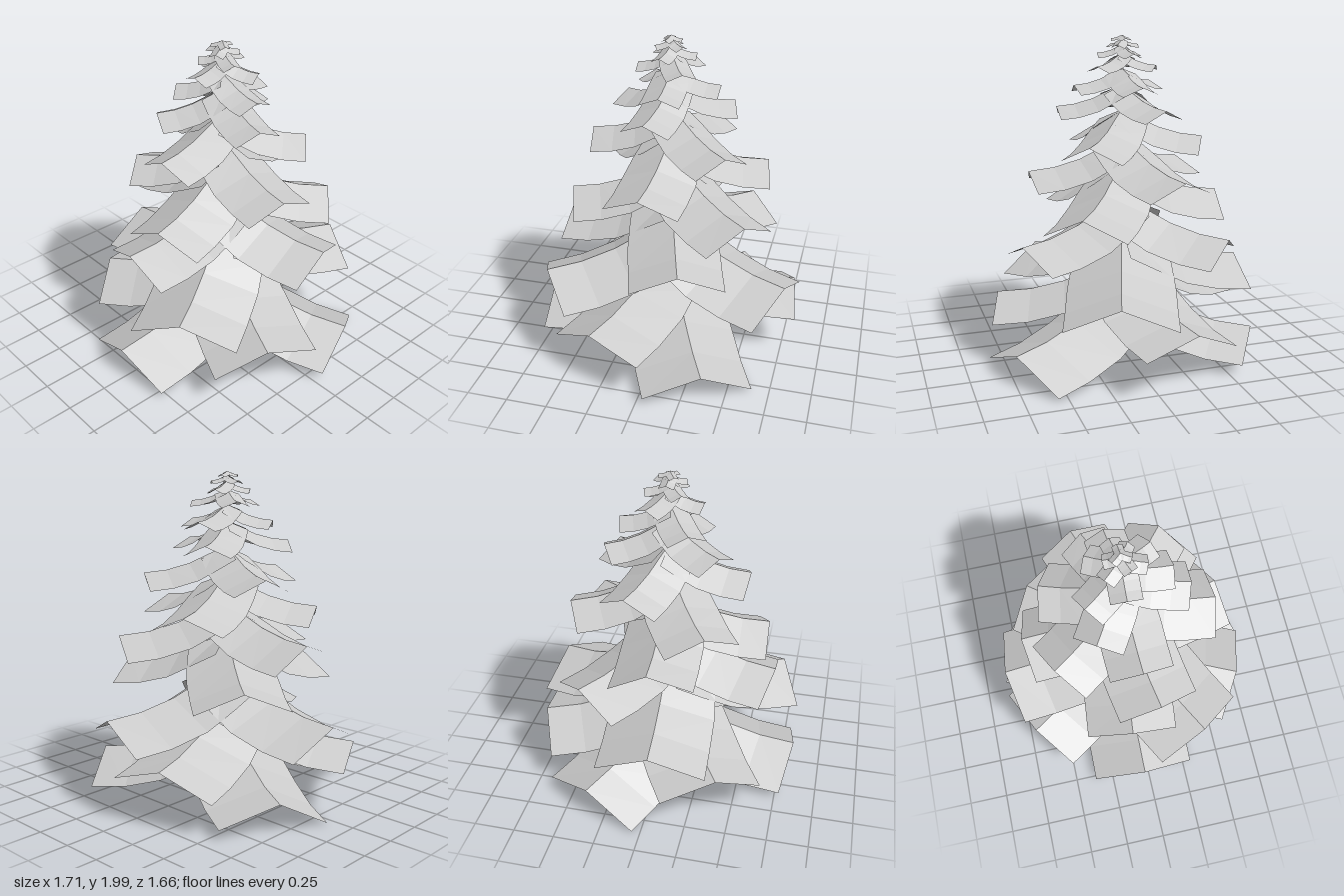
import * as THREE from 'three';

const TRUNK_X = -0.02;
const material = new THREE.MeshStandardMaterial({ color: 0xcccccc, flatShading: true, side: THREE.DoubleSide });
const barkMaterial = new THREE.MeshStandardMaterial({ color: 0xcccccc });

// Tiers from bottom to top: ridge height at the tip, half width, fold drop, then per
// branch [angle in degrees from +x toward +z, length, roll in degrees (0 if left out)]
const TIERS = [
  [0.19, 0.335, 0.148, [[91, 0.83], [-26, 0.85, -3], [206, 0.825, -5]]],
  [0.355, 0.325, 0.125, [[23, 0.81, 4], [148, 0.80, -5], [255, 0.81, -4]]],
  [0.555, 0.33, 0.145, [[60, 0.81], [177, 0.80], [288, 0.81]]],
  [0.795, 0.28, 0.12, [[96, 0.685], [-17, 0.71], [219, 0.695]]],
  [1.015, 0.255, 0.12, [[79, 0.62], [-53, 0.67], [180, 0.63, 6]]],
  [1.195, 0.23, 0.095, [[5, 0.58], [147, 0.555], [251, 0.605]]],
  [1.395, 0.19, 0.09, [[87, 0.49], [-51, 0.51], [200, 0.49]]],
  [1.58, 0.15, 0.065, [[10, 0.40], [122, 0.39], [246, 0.39]]],
  [1.71, 0.12, 0.05, [[1, 0.30], [146, 0.28], [263, 0.295]]],
  [1.825, 0.09, 0.035, [[92, 0.205], [-30, 0.22], [210, 0.21]]],
  [1.895, 0.06, 0.028, [[15, 0.15], [140, 0.14], [258, 0.15]]],
  [1.945, 0.045, 0.02, [[65, 0.10], [-55, 0.10], [182, 0.10]]],
  [1.98, 0.03, 0.014, [[25, 0.065], [145, 0.065], [265, 0.065]]],
];

// Ridge curve, steep at the trunk and level at the tip:
// [distance per length, rise per length, share of the full width]
const RIDGE = [[0, 0.31, 0.85], [0.22, 0.215, 0.94], [0.46, 0.105, 1], [0.73, 0.03, 1], [1, 0, 1]];

// A curved strip along +x, folded like a roof along its middle, tip ridge at y = 0
function branchGeometry(length, rise, halfWidth, drop) {
  const positions = [], index = [];
  RIDGE.forEach(([d, h, share], i) => {
    const a = RIDGE[Math.max(i - 1, 0)], b = RIDGE[Math.min(i + 1, RIDGE.length - 1)];
    const slope = Math.atan2((a[1] - b[1]) * rise, b[0] - a[0]);
    const x = d * length, y = h * length * rise;
    const w = halfWidth * share, fold = drop * share;
    const back = x - fold * (Math.sin(slope) + 0.2 * d);
    const low = y - fold * Math.cos(slope);
    positions.push(back, low, -w, x, y, 0, back, low, w);
    if (i === 0) return;
    for (let k = 0; k < 2; k++) {
      const p = (i - 1) * 3 + k, q = p + 3;
      index.push(p, p + 1, q + 1, p, q + 1, q);
    }
  });
  const geometry = new THREE.BufferGeometry();
  geometry.setAttribute('position', new THREE.Float32BufferAttribute(positions, 3));
  geometry.setIndex(index);
  geometry.computeVertexNormals();
  return geometry;
}

export function createModel() {
  const tree = new THREE.Group();
  tree.name = 'tree';

  // Tapered trunk with a rounded foot
  const profile = [[0, 0.01], [0.03, 0.012], [0.038, 0.03], [0.044, 0.06], [0.043, 0.2], [0.02, 1.4], [0.008, 1.95], [0, 1.985]];
  const trunk = new THREE.Mesh(
    new THREE.LatheGeometry(profile.map(([r, y]) => new THREE.Vector2(r, y)), 12), barkMaterial);
  trunk.name = 'trunk';
  trunk.position.x = TRUNK_X;
  tree.add(trunk);

  // Tiers of three branches each, the topmost flattened to stay below the tip
  TIERS.forEach(([tipY, halfWidth, drop, branches], i) => {
    const tier = new THREE.Group();
    tier.name = `branchTier${i + 1}`;
    tier.position.set(TRUNK_X, tipY, 0);
    branches.forEach(([angle, length, roll = 0]) => {
      const rise = Math.min(1, (2 - tipY) / (RIDGE[0][1] * length));
      const branch = new THREE.Mesh(branchGeometry(length, rise, halfWidth, drop), material);
      branch.name = 'branch';
      branch.rotation.set(THREE.MathUtils.degToRad(roll), -THREE.MathUtils.degToRad(angle), 0, 'YXZ');
      tier.add(branch);
    });
    tree.add(tier);
  });
  return tree;
}
